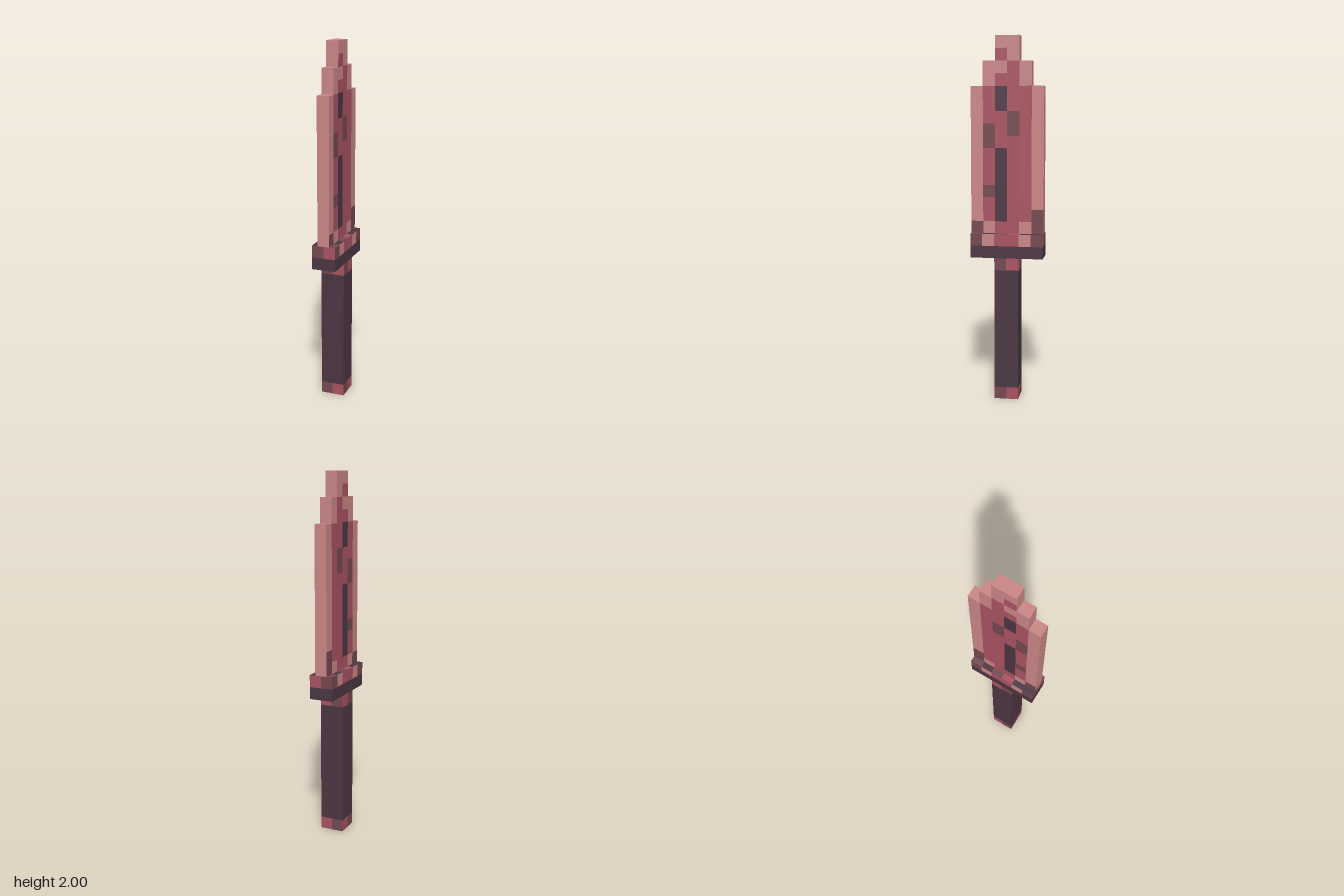
import * as THREE from 'three';
import { mergeGeometries } from 'three/addons/utils/BufferGeometryUtils.js';

const U = 1 / 15; // one block cell
const colours = { L: ['palePink', 0xc98585], R: ['roseRed', 0xa85260], B: ['dullBrown', 0x74484f], D: ['darkPlum', 0x4b3542] };
const turns = {
  '+z': [0, 0], '-z': [0, Math.PI], '+x': [0, Math.PI / 2], '-x': [0, -Math.PI / 2],
  '+y': [-Math.PI / 2, 0], '-y': [Math.PI / 2, 0],
};

// A part made of flat coloured faces, merged into one mesh per colour
class Part {
  constructor(name) { this.name = name; this.faces = {}; }

  // One side of the block between min and max, in cells
  face(dir, min, max, key) {
    const size = max.map((v, i) => (v - min[i]) * U);
    const mid = max.map((v, i) => (v + min[i]) / 2 * U);
    const axis = 'xyz'.indexOf(dir[1]);
    mid[axis] = (dir[0] === '+' ? max : min)[axis] * U;
    const g = new THREE.PlaneGeometry(axis === 0 ? size[2] : size[0], axis === 1 ? size[2] : size[1]);
    g.rotateX(turns[dir][0]).rotateY(turns[dir][1]).translate(...mid);
    (this.faces[key] ??= []).push(g);
  }

  build(materials) {
    const group = new THREE.Group();
    group.name = this.name;
    for (const key in this.faces) {
      const mesh = new THREE.Mesh(mergeGeometries(this.faces[key]), materials[key]);
      mesh.name = this.name + ' ' + colours[key][0];
      group.add(mesh);
    }
    return group;
  }
}

function makeHandle() {
  const p = new Part('handle');
  for (const [y0, y1, low, high] of [[0, 1, 'B', 'R'], [1, 11, 'D', 'D'], [11, 12, 'B', 'R']]) {
    for (const s of ['+', '-']) {
      p.face(s + 'z', [-1, y0, -1], [0, y1, 1], low);
      p.face(s + 'z', [0, y0, -1], [1, y1, 1], high);
      p.face(s + 'x', [-1, y0, 0], [1, y1, 1], low);
      p.face(s + 'x', [-1, y0, -1], [1, y1, 0], high);
    }
  }
  p.face('-y', [-1, 0, -1], [1, 12, 1], 'B');
  return p;
}

function makeGuard() {
  const p = new Part('guard');
  for (const s of ['+', '-']) {
    // Dark lower band, mottled upper band
    p.face(s + 'x', [-1, 12, -3], [1, 13, 3], 'D');
    p.face(s + 'z', [-1, 12, -3], [1, 13, 3], 'D');
    p.face(s + 'z', [-1, 13, -3], [0, 14, 3], 'B');
    p.face(s + 'z', [0, 13, -3], [1, 14, 3], 'R');
    [...'BLRRLB'].forEach((key, i) => p.face(s + 'x', [-1, 13, i - 3], [1, 14, i - 2], key));
  }
  // Top ledges either side of the blade, back to front
  [...'BDBRDD'].forEach((key, i) => p.face('+y', [-1, 12, i - 3], [-0.5, 14, i - 2], key));
  [...'DDRBDB'].forEach((key, i) => p.face('+y', [0.5, 12, i - 3], [1, 14, i - 2], key));
  p.face('-y', [-1, 12, -3], [1, 14, 3], 'D');
  return p;
}

function makeBlade() {
  const p = new Part('blade');
  // Colour runs up each column, front to back: [colour, top]
  const columns = [
    [['B', 15], ['L', 26]],
    [['L', 15], ['R', 17], ['B', 18], ['R', 21], ['B', 23], ['R', 26], ['L', 28]],
    [['R', 15], ['D', 21], ['R', 24], ['D', 26], ['R', 27], ['L', 28], ['R', 29], ['L', 30]],
    [['R', 22], ['B', 24], ['R', 28], ['L', 30]],
    [['L', 15], ['R', 26], ['L', 28]],
    [['B', 16], ['L', 26]],
  ];
  columns.forEach((runs, i) => {
    let y = 14;
    for (const [key, top] of runs) {
      for (const s of ['+', '-']) p.face(s + 'x', [-0.5, y, 2 - i], [0.5, top, 3 - i], key);
      y = top;
    }
    p.face('+y', [-0.5, 14, 2 - i], [0.5, y, 3 - i], 'L');
  });
  // Stepped cutting edges
  for (const [y0, y1, z] of [[14, 26, 3], [26, 28, 2], [28, 30, 1]]) {
    for (const s of ['+', '-']) p.face(s + 'z', [-0.5, y0, -z], [0.5, y1, z], 'L');
  }
  return p;
}

export function createModel() {
  const materials = {};
  for (const key in colours) {
    materials[key] = new THREE.MeshStandardMaterial({ color: colours[key][1] });
    materials[key].name = colours[key][0];
  }
  const model = new THREE.Group();
  model.name = 'blockKnife';
  for (const part of [makeHandle(), makeGuard(), makeBlade()]) model.add(part.build(materials));
  return model;
}
